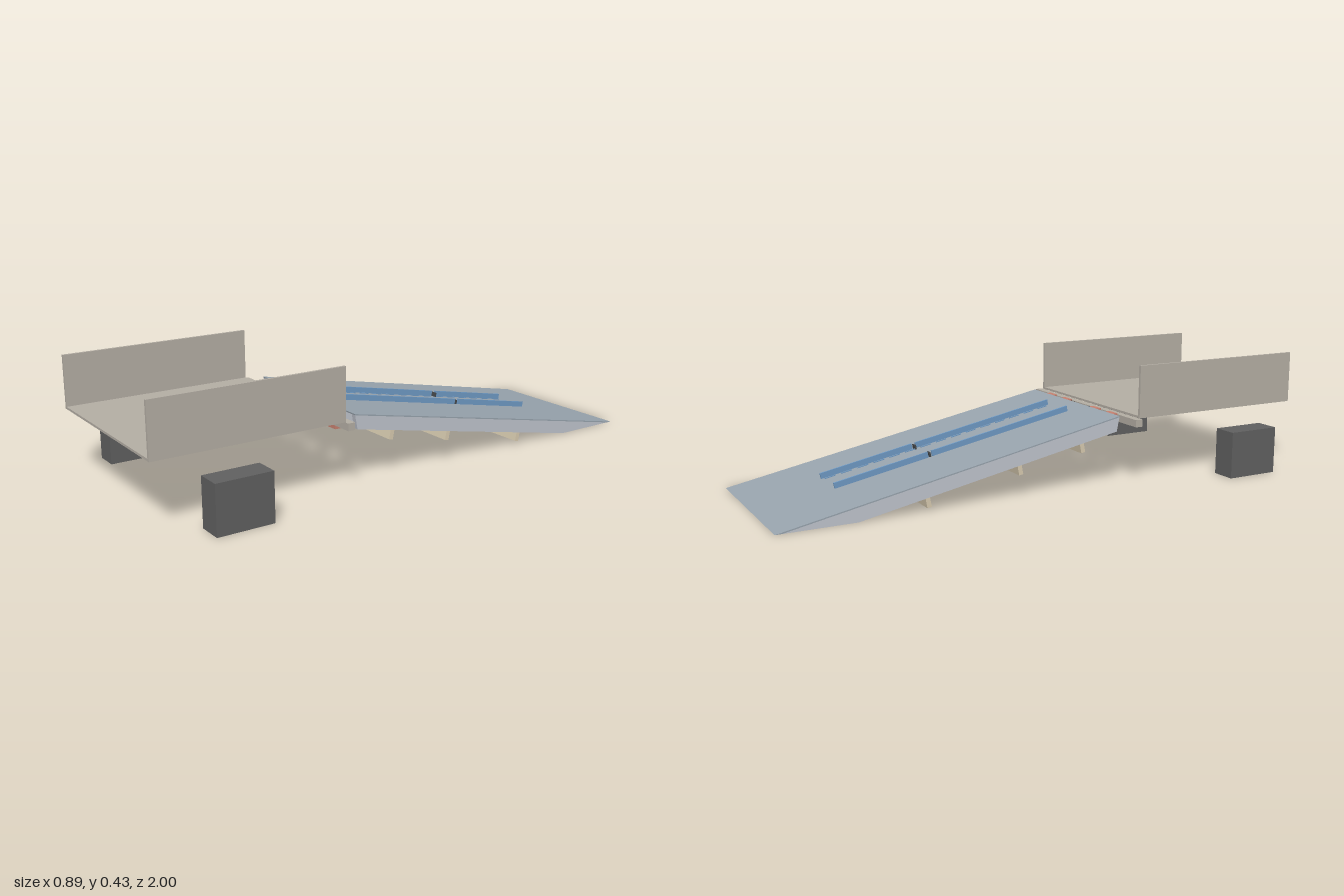
import * as THREE from 'three';

const SLOPE = 0.196, TILT = -Math.atan(SLOPE);
const rampY = (z) => SLOPE * (z + 1); // height of the ramp surface

export function createModel() {
  const root = new THREE.Group();
  root.name = 'trailerWithRamp';
  const mat = (name, color) => Object.assign(new THREE.MeshStandardMaterial({ color }), { name });
  const bedMat = mat('bed beige', 0xb4aea4);
  const deckMat = mat('deck blue grey', 0x98a4ae);
  const ribMat = mat('frame light grey', 0xc0c4cd);
  const timberMat = mat('timber tan', 0xd8cbb0);
  const blueMat = mat('rail blue', 0x6f9ac4);
  const redMat = mat('hinge red', 0xc6806f);
  const wheelMat = mat('wheel grey', 0x606060);
  const darkMat = mat('bracket dark', 0x454749);

  const add = (name, geo, material) => {
    const mesh = new THREE.Mesh(geo, material);
    mesh.name = name;
    root.add(mesh);
    return mesh;
  };
  // box given by its limits
  const box = (name, m, x0, x1, y0, y1, z0, z1) => {
    const b = add(name, new THREE.BoxGeometry(x1 - x0, y1 - y0, z1 - z0), m);
    b.position.set((x0 + x1) / 2, (y0 + y1) / 2, (z0 + z1) / 2);
    return b;
  };
  // box lying along the ramp, "lift" measured from the ramp surface
  const sloped = (name, m, x, z, lift, w, h, len) => {
    const b = add(name, new THREE.BoxGeometry(w, h, len), m);
    b.position.set(x, rampY(z) + lift, z);
    b.rotation.x = TILT;
    return b;
  };
  // side profile of [z, y] points, extruded across x
  const profile = (name, m, pts, x, w) => {
    const shape = new THREE.Shape(pts.map(([z, y]) => new THREE.Vector2(-z, y)));
    const geo = new THREE.ExtrudeGeometry(shape, { depth: w, bevelEnabled: false });
    geo.translate(0, 0, -w / 2).rotateY(Math.PI / 2);
    add(name, geo, m).position.x = x;
  };

  // trailer bed and cross bar
  box('bedFloor', bedMat, -0.34, 0.34, 0.237, 0.245, 0.31, 1);
  box('crossBar', bedMat, -0.355, 0.355, 0.21, 0.236, 0.285, 0.312);

  // ramp deck
  profile('rampDeck', deckMat, [[0.25, 0.245], [-1, 0], [-0.978, 0], [0.249, 0.2405]], 0, 0.606);

  // ramp ribs, tapering flat onto the ground
  const ribProfile = [[0.249, 0.2405], [-0.978, 0], [-0.73, 0], [0.239, 0.19]];
  for (const x of [0.021, 0.065, 0.177, 0.293])
    for (const s of [-1, 1]) profile('rampRib', ribMat, ribProfile, s * x, 0.02);

  // timber cross beams under the ribs
  for (const z of [0.097, -0.15, -0.49])
    sloped('crossBeam', timberMat, 0, z, -0.0695, 0.606, 0.033, 0.016);

  for (const s of [-1, 1]) {
    box('sideWall', bedMat, s * 0.335 - 0.005, s * 0.335 + 0.005, 0.245, 0.425, 0.31, 1);
    box('wheelBlock', wheelMat, s * 0.402 - 0.045, s * 0.402 + 0.045, 0, 0.17, 0.645, 0.845);

    // guide rail in two lengths with a joint, and its stitched inner foot
    sloped('guideRail', blueMat, s * 0.071, -0.101, 0.01, 0.006, 0.021, 0.557);
    sloped('guideRail', blueMat, s * 0.071, -0.559, 0.01, 0.006, 0.021, 0.348);
    sloped('railJoint', darkMat, s * 0.063, -0.381, 0.008, 0.022, 0.016, 0.006);
    for (let i = 0; i < 15; i++)
      sloped('railFoot', blueMat, s * 0.056, 0.14 - i * 0.06, 0.001, 0.003, 0.004, 0.04);

    // bracket plates on either side of the inner rib
    for (const x of [0.053, 0.077]) {
      sloped('ribBracket', darkMat, s * x, -0.36, -0.062, 0.004, 0.03, 0.142);
      box('hingePlate', darkMat, s * x - 0.002, s * x + 0.002, 0.188, 0.235, 0.24, 0.284);
    }
    sloped('outerBracket', darkMat, s * 0.19, 0.135, -0.062, 0.004, 0.028, 0.04);
    box('hingePlate', darkMat, s * 0.19 - 0.002, s * 0.19 + 0.002, 0.192, 0.235, 0.24, 0.284);
  }

  // hinge blocks
  for (const x of [-0.214, -0.104, 0.1, 0.21])
    box('hingeBlock', redMat, x - 0.025, x + 0.025, 0.181, 0.24, 0.257, 0.284);

  return root;
}
